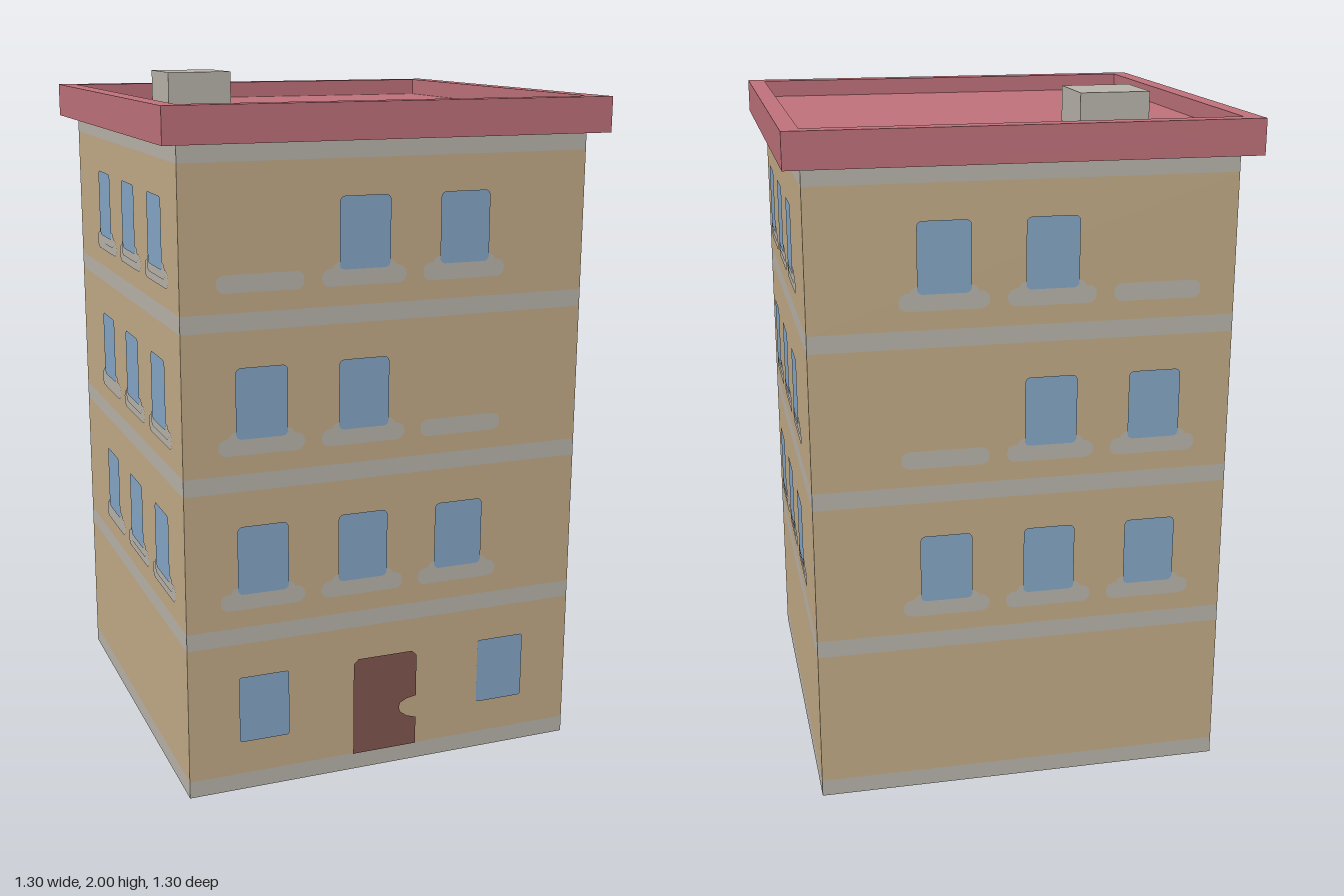
import * as THREE from 'three';

const mat = (name, color, side = THREE.FrontSide) => {
  const m = new THREE.MeshStandardMaterial({ color, side });
  m.name = name;
  return m;
};

export function createModel() {
  const wall = mat('sandWall', 0xc4ad88);
  const stone = mat('greyStone', 0xbab5ac);
  const roofRed = mat('roofRed', 0xc0727b);
  const glass = mat('blueGlass', 0x86a8c8);
  const wood = mat('brownDoor', 0x83584f);

  const model = new THREE.Group();
  model.name = 'apartmentBlock';

  const add = (parent, name, geometry, material, x = 0, y = 0, z = 0) => {
    const mesh = new THREE.Mesh(geometry, material);
    mesh.name = name;
    mesh.position.set(x, y, z);
    parent.add(mesh);
    return mesh;
  };

  // Rounded flat panel, centred on x, standing on y = 0
  const panel = (w, h, r) => {
    const s = new THREE.Shape();
    const a = w / 2;
    s.moveTo(-a + r, 0);
    s.lineTo(a - r, 0);
    s.absarc(a - r, r, r, -Math.PI / 2, 0);
    s.absarc(a - r, h - r, r, 0, Math.PI / 2);
    s.absarc(-a + r, h - r, r, Math.PI / 2, Math.PI);
    s.absarc(-a + r, r, r, Math.PI, Math.PI * 1.5);
    return new THREE.ShapeGeometry(s, 5);
  };

  // Body: flush layers of wall and stone bands, bottom to top
  const levels = [0, 0.05, 0.45, 0.5, 0.9, 0.95, 1.35, 1.4, 1.8, 1.85];
  for (let i = 0; i < levels.length - 1; i++) {
    const h = levels[i + 1] - levels[i];
    const band = i % 2 === 0;
    add(model, band ? 'stoneBand' : 'storeyWall', new THREE.BoxGeometry(1.2, h, 1.2),
      band ? stone : wall, 0, levels[i] + h / 2, 0);
  }

  // Shared facade pieces
  const windowGeo = panel(0.15, 0.2, 0.016);
  const sillGeo = panel(0.25, 0.05, 0.024);
  const collarGeo = panel(0.19, 0.045, 0.02);
  const columns = [-0.375, -0.075, 0.225];
  const rows = [0.6, 1.05, 1.5];

  // One facade: mirror flips the columns; blanks lists sills without a window
  const facade = (name, turn, mirror, blanks) => {
    const g = new THREE.Group();
    g.name = name;
    g.rotation.y = turn;
    rows.forEach((y, r) => columns.forEach((x, c) => {
      const px = x * mirror;
      add(g, 'windowSill', sillGeo, stone, px, y - 0.046, 0.602);
      if (blanks[r] === c) return;
      add(g, 'sillCollar', collarGeo, stone, px, y - 0.024, 0.603);
      add(g, 'windowPane', windowGeo, glass, px, y, 0.605);
    }));
    model.add(g);
    return g;
  };
  const front = facade('frontFacade', 0, 1, [-1, 2, 0]);
  facade('backFacade', Math.PI, -1, [-1, 2, 0]);
  facade('rightFacade', Math.PI / 2, 1, []);
  facade('leftFacade', -Math.PI / 2, -1, []);

  // Ground floor windows and the notched door
  for (const x of [-0.375, 0.375]) add(front, 'groundWindow', panel(0.15, 0.2, 0.008), glass, x, 0.15, 0.604);
  const doorShape = new THREE.Shape([
    [-0.1, 0.05], [0.1, 0.05], [0.1, 0.135], [0.07, 0.145], [0.05, 0.16], [0.045, 0.175],
    [0.05, 0.19], [0.07, 0.2], [0.1, 0.205], [0.1, 0.335], [0.085, 0.35], [-0.085, 0.35], [-0.1, 0.335],
  ].map(([x, y]) => new THREE.Vector2(x, y)));
  add(front, 'door', new THREE.ShapeGeometry(doorShape), wood, 0, 0, 0.604);

  // Roof slab with a raised parapet rim
  add(model, 'roofSlab', new THREE.BoxGeometry(1.3, 0.05, 1.3), roofRed, 0, 1.875, 0);
  const square = (Type, a) => new Type([[-a, -a], [a, -a], [a, a], [-a, a]].map(([x, y]) => new THREE.Vector2(x, y)));
  const rim = square(THREE.Shape, 0.65);
  rim.holes.push(square(THREE.Path, 0.6));
  const rimGeo = new THREE.ExtrudeGeometry(rim, { depth: 0.05, bevelEnabled: false }).rotateX(-Math.PI / 2);
  add(model, 'parapet', rimGeo, roofRed, 0, 1.9, 0);

  // Roof vent block
  add(model, 'roofVent', new THREE.BoxGeometry(0.2, 0.1, 0.2), stone, -0.3, 1.95, -0.3);

  return model;
}
